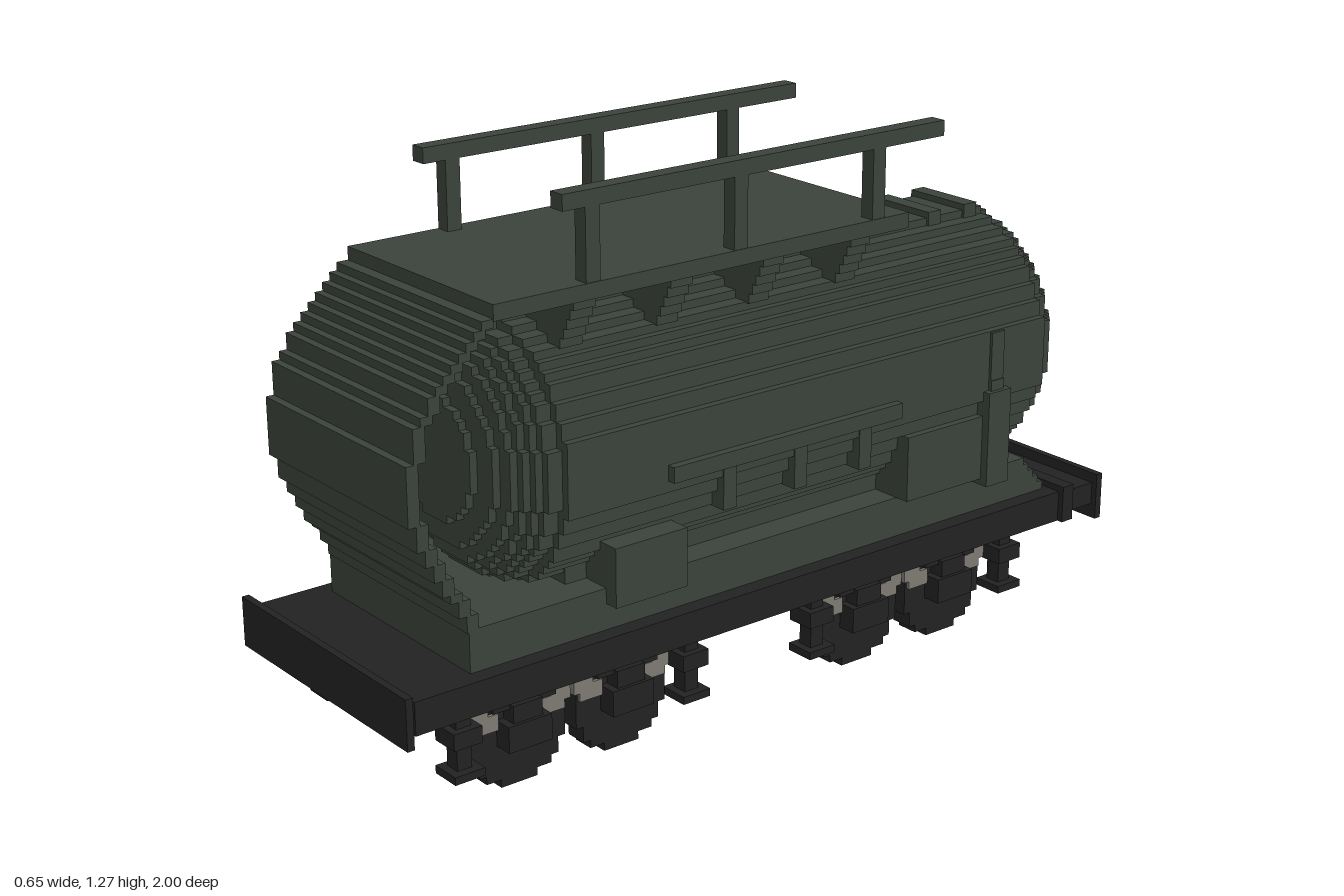
import * as THREE from 'three';

const V = 0.0185; // block size shared by the stepped curves

export function createModel() {
  const model = new THREE.Group();
  const mat = (name, color) => {
    const m = new THREE.MeshStandardMaterial({ color });
    m.name = name;
    return m;
  };
  const green = mat('tank green', 0x3b433b);
  const black = mat('chassis black', 0x222222);
  const grey = mat('spring grey', 0x7d7972);

  // Box from its min and max on each axis
  const box = (name, m, x0, x1, y0, y1, z0, z1) => {
    const mesh = new THREE.Mesh(new THREE.BoxGeometry(x1 - x0, y1 - y0, z1 - z0), m);
    mesh.position.set((x0 + x1) / 2, (y0 + y1) / 2, (z0 + z1) / 2);
    mesh.name = name;
    model.add(mesh);
  };
  // The same box on both sides of x = 0
  const pair = (name, m, x0, x1, ...rest) => {
    box(name + 'Left', m, x0, x1, ...rest);
    box(name + 'Right', m, -x1, -x0, ...rest);
  };

  // Circle drawn in square steps
  const steppedCircle = (r, v = V) => {
    const n = Math.max(1, Math.round(r / v - 0.5));
    const R = (n + 0.5) * v;
    const right = [];
    for (let i = -n; i <= n; i++) {
      const d = i * v;
      const w = (Math.round(Math.sqrt(Math.max(0, R * R - d * d)) / v - 0.5) + 0.5) * v;
      right.push([w, d - v / 2], [w, d + v / 2]);
    }
    const pts = [...right, ...right.slice().reverse().map(([x, y]) => [-x, y])];
    return new THREE.Shape(pts.map(([x, y]) => new THREE.Vector2(x, y)));
  };
  const disc = (name, m, r, y, z0, z1) => {
    const geo = new THREE.ExtrudeGeometry(steppedCircle(r), { depth: z1 - z0, bevelEnabled: false });
    const mesh = new THREE.Mesh(geo, m);
    mesh.position.set(0, y, z0);
    mesh.name = name;
    model.add(mesh);
  };

  // Tank barrel with stepped domed ends
  const TY = 0.68, TR = 0.305;
  disc('tankBarrel', green, TR, TY, -0.74, 0.53);
  const layers = 10;
  for (let i = 0; i < layers; i++) {
    const t = (i + 0.6) / layers;
    const r = 0.08 + (TR - 0.08) * Math.sqrt(1 - t * t);
    const d = 0.018;
    disc('tankFrontDome', green, r, TY, 0.53 + i * d, 0.53 + (i + 1) * d);
    disc('tankBackDome', green, r, TY, -0.74 - (i + 1) * d, -0.74 - i * d);
  }

  // Bands over the tank near the back
  for (const z of [-0.635, -0.75]) box('bandTop', green, -0.09, 0.09, 0.96, 1.0, z - 0.02, z + 0.02);
  pair('bandSide', green, 0.27, 0.312, 0.6, 0.76, -0.655, -0.615);

  // Plinth beneath the tank, stepped down at the back
  box('plinth', green, -0.27, 0.27, 0.31, 0.405, -0.78, 0.81);
  for (let i = 0; i < 4; i++) {
    box('plinthStep', green, -0.27, 0.27, 0.31, 0.387 - i * V, -0.797 - i * 0.017, -0.775);
  }
  box('tankCradle', green, -0.2, 0.2, 0.4, 0.47, -0.72, 0.52);

  // Curved front shield, one row of blocks at a time
  const profile = [[0.405, 0.81], [0.52, 0.87], [0.6, 0.915], [0.67, 0.94], [0.75, 0.94],
    [0.82, 0.93], [0.88, 0.905], [0.97, 0.835], [1.06, 0.74]];
  const shieldZ = (y) => {
    let i = 0;
    while (i < profile.length - 2 && y > profile[i + 1][0]) i++;
    const [ya, za] = profile[i], [yb, zb] = profile[i + 1];
    return Math.round((za + ((zb - za) * (y - ya)) / (yb - ya)) / V) * V;
  };
  for (let y = 0.4; y < 1.04; y += V) {
    const z = shieldZ(y + V / 2);
    box('shieldRow', green, -0.27, 0.27, y, y + V, z - 0.028, z);
  }

  // Walkway, its stepped supports and the handrails
  box('walkway', green, -0.27, 0.27, 1.042, 1.077, -0.38, 0.73);
  for (const z of [0.495, 0.245, -0.005, -0.255]) {
    for (let i = 0; i < 6; i++) {
      const w = 0.25 - i * 0.012;
      box('walkwaySupport', green, -w, w, 1.042 - (i + 1) * 0.023, 1.042 - i * 0.023, z - 0.028, z + 0.028);
    }
  }
  pair('handrail', green, 0.23, 0.27, 1.235, 1.27, -0.48, 0.56);
  for (const z of [0.485, 0.1, -0.29]) {
    pair('handrailPost', green, 0.232, 0.268, 1.07, 1.24, z - 0.018, z + 0.018);
  }

  // Side lockers, upright cabinet and pipe
  pair('frontLocker', green, 0.2, 0.305, 0.37, 0.505, 0.275, 0.465);
  pair('backLocker', green, 0.2, 0.305, 0.405, 0.56, -0.6, -0.365);
  pair('uprightCabinet', green, 0.2, 0.325, 0.39, 0.62, -0.67, -0.6);
  pair('cabinetTop', green, 0.26, 0.315, 0.62, 0.645, -0.655, -0.615);
  pair('sidePipe', green, 0.29, 0.325, 0.622, 0.658, -0.325, 0.325);
  for (const z of [0.16, -0.04, -0.23]) {
    pair('pipeBracket', green, 0.24, 0.308, 0.52, 0.63, z - 0.018, z + 0.018);
  }

  // Chassis deck and end beams
  box('deck', black, -0.31, 0.31, 0.235, 0.31, -0.88, 0.97);
  box('frontBeamNeck', black, -0.3, 0.3, 0.25, 0.295, 0.96, 0.99);
  box('frontBeam', black, -0.325, 0.325, 0.215, 0.33, 0.983, 1.0);
  box('backInnerBeam', black, -0.325, 0.325, 0.235, 0.325, -0.9, -0.865);
  box('backDeck', black, -0.31, 0.31, 0.25, 0.305, -0.985, -0.89);
  box('backBeam', black, -0.325, 0.325, 0.215, 0.33, -1.0, -0.982);

  // Wheels with axles and axle boxes
  const wheelGeo = new THREE.ExtrudeGeometry(steppedCircle(0.116), { depth: 0.054, bevelEnabled: false });
  wheelGeo.translate(0, 0, -0.027).rotateY(Math.PI / 2);
  for (const z of [0.665, 0.395, -0.295, -0.565]) {
    for (const x of [-0.164, 0.197]) {
      const wheel = new THREE.Mesh(wheelGeo, black);
      wheel.position.set(x, 0.12, z);
      wheel.name = 'wheel';
      model.add(wheel);
    }
    box('axle', black, -0.15, 0.18, 0.1, 0.135, z - 0.018, z + 0.018);
    pair('axleBox', black, 0.2, 0.27, 0.1, 0.16, z - 0.055, z + 0.055);
    pair('axleBoxTop', black, 0.2, 0.262, 0.16, 0.2, z - 0.037, z + 0.037);
    pair('axleHanger', black, 0.2, 0.25, 0.19, 0.236, z - 0.08, z + 0.08);
    // Springs either side of each axle box
    for (const s of [-1, 1]) {
      const c = z + s * 0.085;
      pair('spring', grey, 0.18, 0.232, 0.14, 0.178, c - 0.03, c + 0.03);
      const e = z + s * 0.105;
      pair('springEnd', grey, 0.18, 0.232, 0.16, 0.195, e - 0.025, e + 0.025);
    }
  }

  // I-shaped posts at the bogie ends
  for (const z of [0.83, 0.235, -0.13, -0.73]) {
    pair('bogiePost', black, 0.23, 0.268, 0.09, 0.24, z - 0.018, z + 0.018);
    pair('bogiePostFoot', black, 0.215, 0.288, 0.082, 0.1, z - 0.037, z + 0.037);
    pair('bogiePostBlock', black, 0.215, 0.285, 0.157, 0.195, z - 0.035, z + 0.035);
  }
  return model;
}
